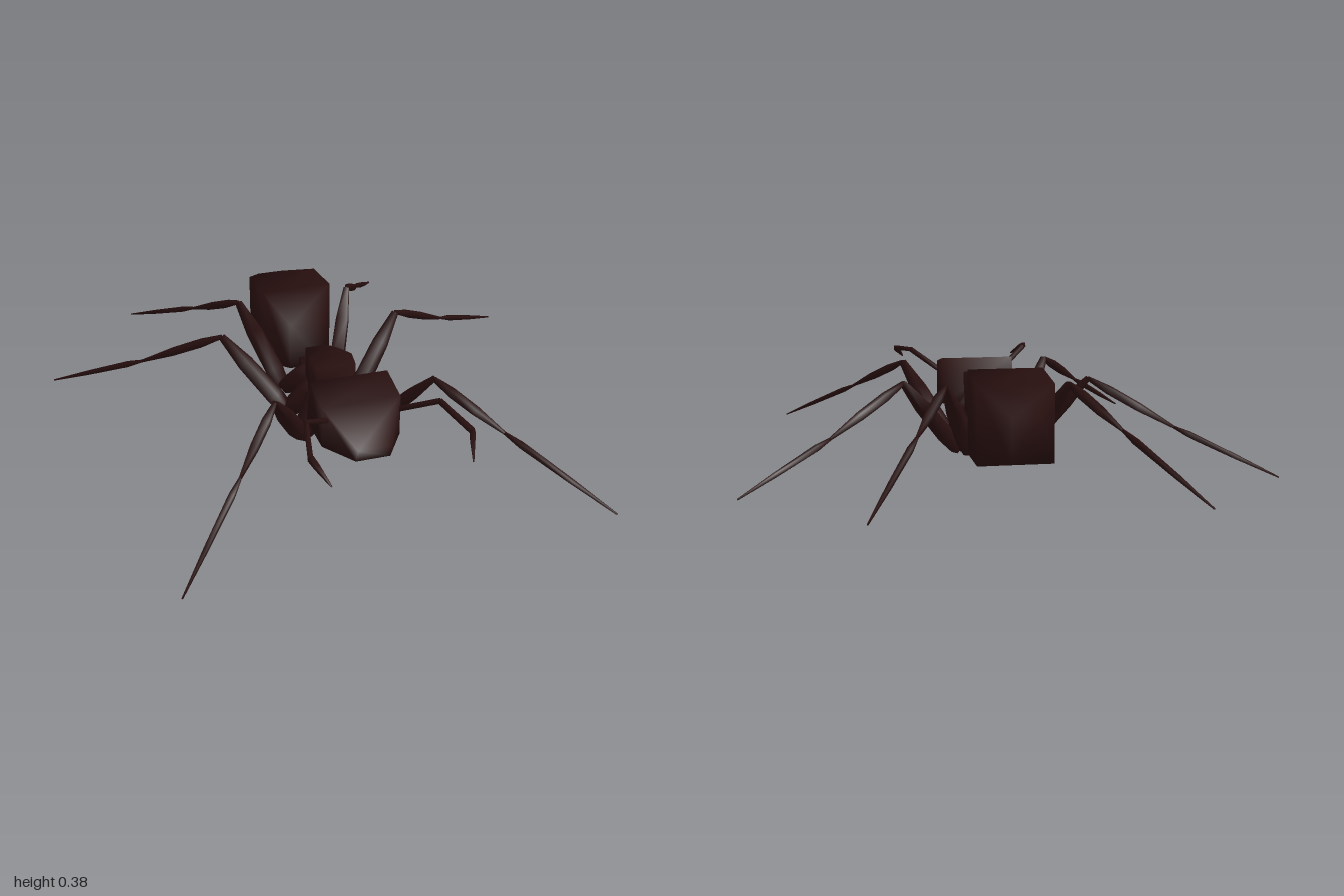
import * as THREE from 'three';

const shell = new THREE.MeshStandardMaterial({ color: 0x280f0f });
shell.name = 'dark brown shell';

// Skin a row of rings (each counter-clockwise about the direction of travel) and cap both ends.
function loft(name, rings) {
  const n = rings[0].length, last = (rings.length - 1) * n, index = [];
  for (let i = 0; i < rings.length - 1; i++) {
    for (let j = 0; j < n; j++) {
      const a = i * n + j, b = i * n + (j + 1) % n;
      index.push(a, b, b + n, a, b + n, a + n);
    }
  }
  for (let j = 1; j < n - 1; j++) {
    index.push(0, j + 1, j, last, last + j, last + j + 1);
  }
  const geometry = new THREE.BufferGeometry();
  geometry.setAttribute('position', new THREE.Float32BufferAttribute(rings.flat(2), 3));
  geometry.setIndex(index);
  geometry.computeVertexNormals();
  const mesh = new THREE.Mesh(geometry, shell);
  mesh.name = name;
  return mesh;
}

// Body section from [z, half width, bottom, top, backward lean of the bottom edge].
function bodyPart(name, sections) {
  return loft(name, sections.map(([z, w, lo, hi, lean = 0]) => [
    [w, lo, z - lean], [w, hi, z], [-w, hi, z], [-w, lo, z - lean],
  ]));
}

// Four-sided limb segment with [fraction, radius] stations from one joint to the next.
function limb(name, from, to, stations) {
  const a = new THREE.Vector3(...from), b = new THREE.Vector3(...to);
  const dir = b.clone().sub(a).normalize();
  const u = new THREE.Vector3(0, 1, 0).cross(dir).normalize();
  const v = dir.clone().cross(u);
  return loft(name, stations.map(([t, r]) => [0, 1, 2, 3].map((k) => {
    const angle = Math.PI / 4 + k * Math.PI / 2;
    return a.clone().lerp(b, t)
      .addScaledVector(u, r * Math.cos(angle))
      .addScaledVector(v, r * Math.sin(angle)).toArray();
  })));
}

// Leg joints: hip, low elbow, knee, ankle, foot.
const legs = {
  front: [[0.05, 0.22, 0.19], [0.13, 0.025, 0.21], [0.295, 0.315, 0.43], [0.48, 0.185, 0.655], [0.76, 0.005, 0.995]],
  middle: [[0.03, 0.17, 0.06], [0.13, 0.03, 0.02], [0.35, 0.315, -0.115], [0.63, 0.155, -0.31], [0.955, 0.005, -0.535]],
  rear: [[0.02, 0.16, -0.05], [0.105, 0.05, -0.125], [0.225, 0.335, -0.345], [0.355, 0.21, -0.6], [0.555, 0.025, -0.995]],
};
const legSegments = [
  ['Coxa', [[0, 0.03], [0.3, 0.045], [0.85, 0.042], [1, 0.028]]],
  ['Femur', [[0, 0.026], [0.2, 0.036], [0.65, 0.032], [1, 0.014]]],
  ['Tibia', [[0, 0.009], [0.25, 0.019], [0.6, 0.018], [1, 0.006]]],
  ['Tarsus', [[0, 0.006], [0.15, 0.013], [0.6, 0.01], [1, 0.003]]],
];

const antenna = [[0.11, 0.25, 0.49], [0.24, 0.338, 0.62], [0.283, 0.32, 0.81], [0.245, 0.27, 0.915]];
const antennaStations = [
  [[0, 0.011], [1, 0.011]],
  [[0, 0.011], [1, 0.012]],
  [[0, 0.013], [0.3, 0.012], [1, 0.003]],
];

export function createModel() {
  const model = new THREE.Group();
  model.name = 'ant';

  model.add(
    bodyPart('abdomen', [
      [-0.69, 0.05, 0.125, 0.285], [-0.505, 0.137, 0.08, 0.363],
      [-0.295, 0.137, 0.08, 0.388], [-0.15, 0.07, 0.115, 0.3],
    ]),
    bodyPart('waist', [
      [-0.18, 0.035, 0.12, 0.16], [-0.1, 0.035, 0.115, 0.155], [-0.02, 0.04, 0.12, 0.21],
    ]),
    bodyPart('thorax', [
      [-0.035, 0.042, 0.12, 0.26], [0.05, 0.062, 0.12, 0.285], [0.15, 0.08, 0.16, 0.31],
      [0.21, 0.075, 0.2, 0.3], [0.275, 0.042, 0.205, 0.285], [0.36, 0.06, 0.2, 0.275],
    ]),
    bodyPart('head', [
      [0.355, 0.145, 0.155, 0.335, 0.04], [0.495, 0.145, 0.15, 0.305], [0.645, 0.063, 0.152, 0.205, 0.02],
    ]),
  );

  // Mirrored legs and feelers
  for (const [side, s] of [['left', 1], ['right', -1]]) {
    const flip = ([x, y, z]) => [s * x, y, z];
    for (const [pair, joints] of Object.entries(legs)) {
      const leg = new THREE.Group();
      leg.name = `${side} ${pair} leg`;
      legSegments.forEach(([part, stations], i) => {
        leg.add(limb(`${pair}${part}`, flip(joints[i]), flip(joints[i + 1]), stations));
      });
      model.add(leg);
    }
    const feeler = new THREE.Group();
    feeler.name = `${side} antenna`;
    antennaStations.forEach((stations, i) => {
      feeler.add(limb('antennaSegment', flip(antenna[i]), flip(antenna[i + 1]), stations));
    });
    model.add(feeler);
  }
  return model;
}
